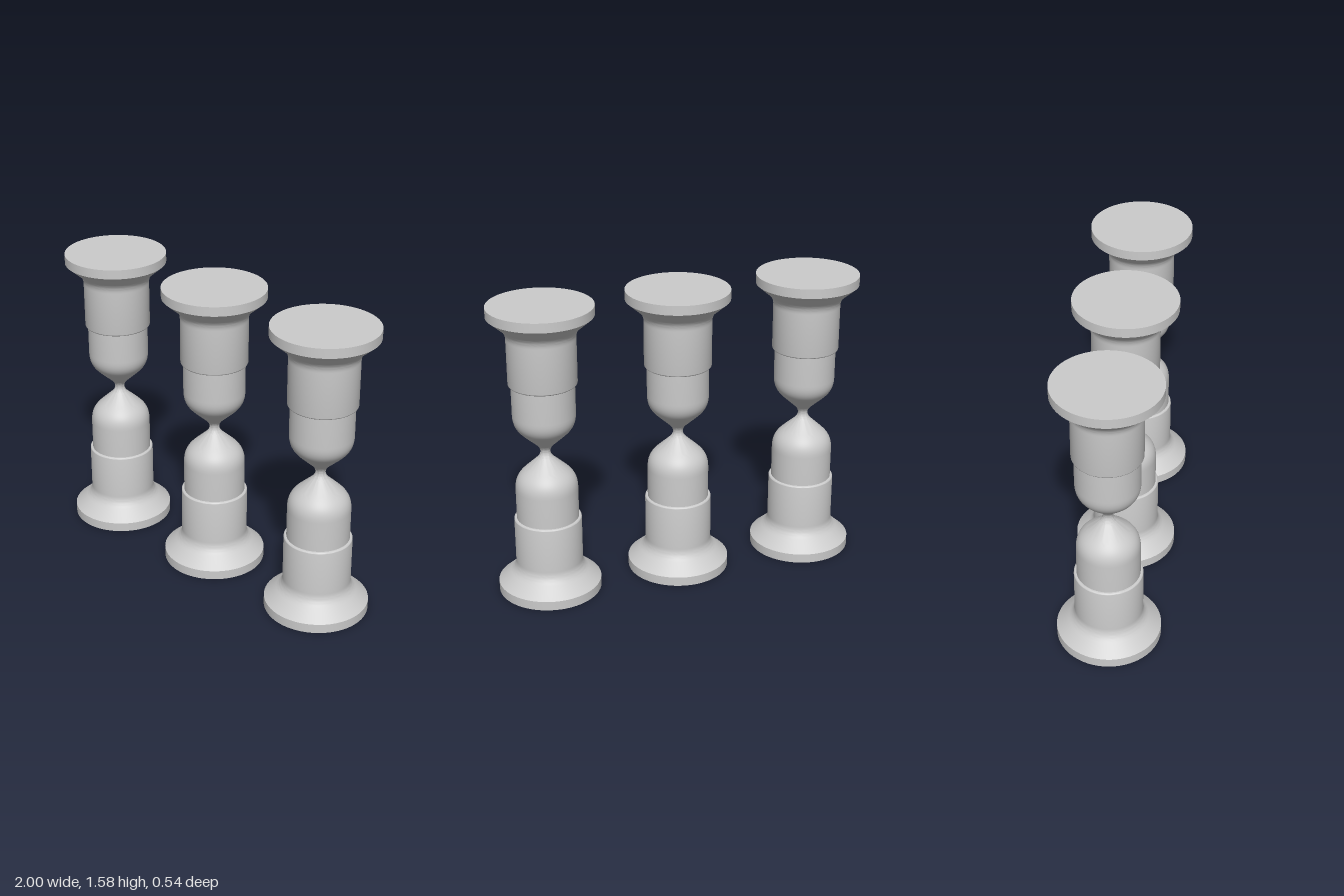
import * as THREE from 'three';
import { toCreasedNormals } from 'three/addons/utils/BufferGeometryUtils.js';

const HEIGHT = 1.58;
const MID = HEIGHT / 2;
const SPACING = 0.727;
const SEGMENTS = 72;

const material = new THREE.MeshStandardMaterial({ color: 0xcccccc });

// Spin a path around y, keeping sharp edges sharp
function spin(path) {
  const points = path.getPoints(10);
  return toCreasedNormals(new THREE.LatheGeometry(points, SEGMENTS), 0.6);
}

// Stand: flat disc, flared foot, straight sleeve with a rounded lip
function standGeometry() {
  const p = new THREE.Path();
  p.moveTo(0, 0);
  p.lineTo(0.272, 0);
  p.lineTo(0.272, 0.05);
  p.lineTo(0.207, 0.106);
  p.quadraticCurveTo(0.177, 0.132, 0.177, 0.17);
  p.lineTo(0.177, 0.406);
  p.quadraticCurveTo(0.177, 0.416, 0.169, 0.417);
  p.lineTo(0.16, 0.417);
  return spin(p);
}

// Bulbs: one continuous vessel, pinched at the neck
function glassGeometry() {
  const p = new THREE.Path();
  const top = (y) => HEIGHT - y;
  p.moveTo(0.163, 0.4);
  p.lineTo(0.163, 0.58);
  p.bezierCurveTo(0.163, 0.64, 0.14, 0.665, 0.105, 0.697);
  p.lineTo(0.047, 0.75);
  p.quadraticCurveTo(0.026, 0.77, 0.026, MID);
  p.quadraticCurveTo(0.026, top(0.77), 0.047, top(0.75));
  p.lineTo(0.105, top(0.697));
  p.bezierCurveTo(0.14, top(0.665), 0.163, top(0.64), 0.163, top(0.58));
  p.lineTo(0.163, top(0.4));
  return spin(p);
}

export function createModel() {
  const model = new THREE.Group();
  model.name = 'hourglasses';
  const stand = standGeometry();
  const glass = glassGeometry();

  function addMesh(parent, geometry, name) {
    const mesh = new THREE.Mesh(geometry, material);
    mesh.name = name;
    parent.add(mesh);
    return mesh;
  }

  ['rightHourglass', 'middleHourglass', 'leftHourglass'].forEach((name, i) => {
    const hourglass = new THREE.Group();
    hourglass.name = name;
    hourglass.position.x = (i - 1) * SPACING;
    addMesh(hourglass, stand, 'lowerStand');
    addMesh(hourglass, glass, 'glassBulbs');
    // Upper stand is the lower one turned over
    const upper = addMesh(hourglass, stand, 'upperStand');
    upper.rotation.x = Math.PI;
    upper.position.y = HEIGHT;
    model.add(hourglass);
  });

  return model;
}
